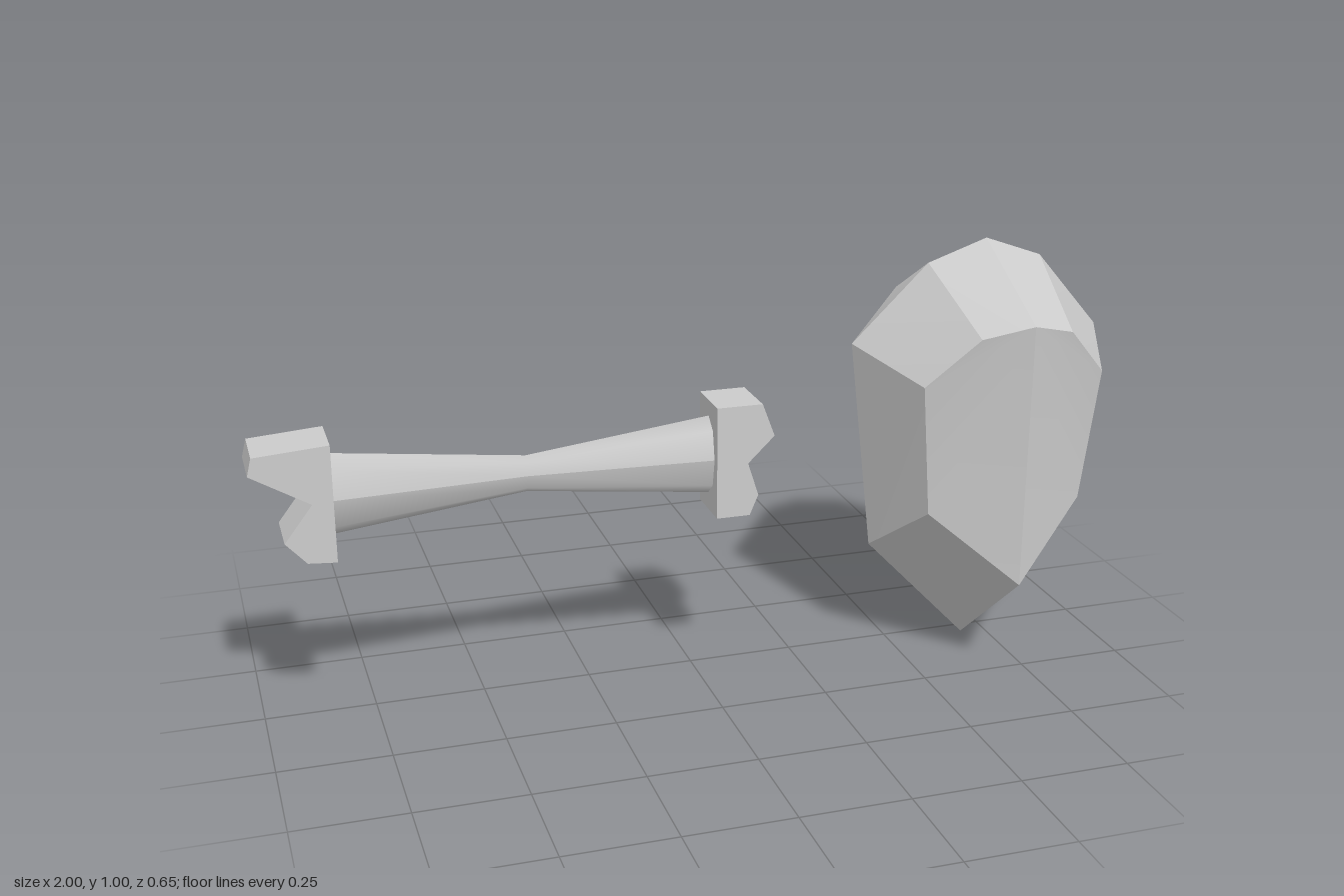
import * as THREE from 'three';
import { toCreasedNormals } from 'three/addons/utils/BufferGeometryUtils.js';

const material = () => new THREE.MeshStandardMaterial({ color: 0xcccccc });
const v = (x, y, z) => new THREE.Vector3(x, y, z);
const centroid = (pts) => pts.reduce((s, p) => s.add(p), v(0, 0, 0)).divideScalar(pts.length);

// Fans each polygon into triangles that face away from ref (sign 1) or towards it (sign -1).
function facet(out, polygon, ref, sign = 1) {
  for (let i = 1; i < polygon.length - 1; i++) {
    const [a, b, c] = [polygon[0], polygon[i], polygon[i + 1]];
    const n = b.clone().sub(a).cross(c.clone().sub(a));
    const outward = n.dot(centroid([a, b, c]).sub(ref)) * sign > 0;
    out.push(a, ...(outward ? [b, c] : [c, b]));
  }
}

// Adds the mirrored half of a list of triangles and makes a creased mesh.
function mirroredMesh(name, half) {
  const all = [...half];
  for (let i = 0; i < half.length; i += 3) {
    for (const k of [0, 2, 1]) {
      const p = half[i + k];
      all.push(v(-p.x, p.y, p.z));
    }
  }
  const geo = toCreasedNormals(new THREE.BufferGeometry().setFromPoints(all), 0.4);
  const mesh = new THREE.Mesh(geo, material());
  mesh.name = name;
  return mesh;
}

// Recess: walls from the rim to a smaller floor.
function recess(out, rim, shrink, offset, closed) {
  const mid = centroid(rim);
  const floor = rim.map((p) => p.clone().lerp(v(closed ? mid.x : 0, mid.y, mid.z), shrink).add(offset));
  if (!closed) floor.forEach((p, i) => { if (rim[i].x === 0) p.x = 0; });
  const ref = closed ? centroid([...rim, ...floor]) : v(0, mid.y, mid.z);
  const count = closed ? rim.length : rim.length - 1;
  for (let i = 0; i < count; i++) {
    const j = (i + 1) % rim.length;
    facet(out, [rim[i], rim[j], floor[j], floor[i]], ref, -1);
  }
  facet(out, floor, ref, -1);
}

function createHead() {
  const head = new THREE.Group();
  head.name = 'head';

  // Left half of the front, middle and back rings, top to bottom
  const f = [v(0, 0.86, 0.325), v(0.11, 0.83, 0.29), v(0.22, 0.715, 0.24), v(0.19, 0.405, 0.225), v(0, 0.245, 0.325)];
  const m = [v(0, 1, 0.06), v(0.14, 0.95, 0.055), v(0.31, 0.765, 0.027), v(0.255, 0.265, 0.037), v(0, 0, 0.037)];
  const top = v(0, 0.86, -0.207), brow = v(0.11, 0.83, -0.19), jaw = v(0.185, 0.405, -0.165), chin = v(0, 0.245, -0.187);
  const bridge = v(0, 0.76, -0.215), upperLip = v(0, 0.51, -0.195);
  const eye = [v(0.24, 0.727, -0.08), v(0.09, 0.752, -0.18), v(0.172, 0.55, -0.17)];
  const [eyeOut, eyeIn, eyeLow] = eye;
  const mouth = [upperLip, v(0.1, 0.51, -0.183), v(0.105, 0.44, -0.18), v(0.055, 0.378, -0.193), v(0, 0.37, -0.197)];

  // Faceted shell
  const shell = [], core = v(0, 0.52, 0.05);
  const panels = [
    f,
    [f[0], f[1], m[1], m[0]], [f[1], f[2], m[2], m[1]], [f[2], f[3], m[3], m[2]], [f[3], f[4], m[4], m[3]],
    [top, brow, m[1], m[0]], [brow, m[1], m[2]], [brow, m[2], eyeOut], [brow, eyeOut, eyeIn],
    [eyeOut, m[2], eyeLow], [eyeLow, m[2], m[3]], [eyeLow, m[3], jaw], [jaw, m[3], m[4], chin],
  ];
  panels.forEach((p) => facet(shell, p, core));
  head.add(mirroredMesh('shell', shell));

  // Face around the eyes and mouth
  const face = [];
  [
    [top, brow, bridge], [brow, eyeIn, bridge], [bridge, eyeIn, upperLip],
    [eyeIn, mouth[1], upperLip], [eyeIn, eyeLow, mouth[1]],
    [eyeLow, mouth[2], mouth[1]], [eyeLow, jaw, mouth[2]],
    [jaw, mouth[3], mouth[2]], [jaw, chin, mouth[3]], [chin, mouth[4], mouth[3]],
  ].forEach((p) => facet(face, p, core));
  head.add(mirroredMesh('face', face));

  // Eye sockets and mouth hollow
  const sockets = [];
  recess(sockets, eye, 0.35, v(-0.05, -0.02, 0.01), true);
  head.add(mirroredMesh('eyeSockets', sockets));
  const hollow = [];
  recess(hollow, mouth, 0.15, v(0, 0, 0.06), false);
  head.add(mirroredMesh('mouthHollow', hollow));

  // Nose: sections from bridge to nostrils, each root, side, front, ridge
  const sections = [
    [0.77, 0.03, -0.19, 0.02, -0.205, 0.01, -0.212, -0.216],
    [0.68, 0.085, -0.17, 0.055, -0.215, 0.035, -0.24, -0.246],
    [0.668, 0.085, -0.17, 0.058, -0.23, 0.038, -0.285, -0.296],
    [0.525, 0.09, -0.17, 0.085, -0.295, 0.04, -0.317, -0.324],
    [0.496, 0.085, -0.17, 0.075, -0.285, 0.035, -0.303, -0.308],
  ].map(([y, rx, rz, sx, sz, fx, fz, z]) => [v(rx, y, rz), v(sx, y, sz), v(fx, y, fz), v(0, y, z)]);
  const nose = [], noseCore = v(0, 0.58, -0.17);
  for (let i = 0; i < sections.length - 1; i++) {
    for (let k = 0; k < 3; k++) {
      facet(nose, [sections[i][k], sections[i][k + 1], sections[i + 1][k + 1], sections[i + 1][k]], noseCore);
    }
  }
  facet(nose, [v(0, 0.507, -0.17), ...sections[4]], noseCore);
  head.add(mirroredMesh('nose', nose));

  head.position.x = 0.69;
  return head;
}

function createBone() {
  const bone = new THREE.Group();
  bone.name = 'bone';

  // Shaft pinched in the middle
  const shaftGeo = new THREE.CylinderGeometry(1, 1, 0.86, 8, 2);
  const pos = shaftGeo.attributes.position;
  for (let i = 0; i < pos.count; i++) {
    const end = Math.abs(pos.getY(i)) > 0.1;
    pos.setX(i, pos.getX(i) * (end ? 0.093 : 0.042));
    pos.setZ(i, pos.getZ(i) * (end ? 0.046 : 0.02));
  }
  shaftGeo.rotateZ(Math.PI / 2);
  shaftGeo.computeVertexNormals();
  const shaft = new THREE.Mesh(shaftGeo, material());
  shaft.name = 'shaft';
  shaft.position.set(-0.4, 0.548, 0.068);
  bone.add(shaft);

  // Forked knuckles
  const knuckles = {
    leftKnuckle: [[0.022, 0.415], [0.1, 0.415], [0.12, 0.462], [0.095, 0.54], [0.157, 0.6], [0.128, 0.677], [0.022, 0.677]],
    rightKnuckle: [[-0.827, 0.68], [-0.99, 0.668], [-1, 0.628], [-0.872, 0.552], [-0.935, 0.47], [-0.89, 0.42], [-0.827, 0.415]],
  };
  for (const [name, outline] of Object.entries(knuckles)) {
    const shape = new THREE.Shape(outline.map(([x, y]) => new THREE.Vector2(x, y)));
    const mesh = new THREE.Mesh(new THREE.ExtrudeGeometry(shape, { depth: 0.13, bevelEnabled: false }), material());
    mesh.name = name;
    mesh.position.z = 0.003;
    bone.add(mesh);
  }
  return bone;
}

export function createModel() {
  const model = new THREE.Group();
  model.name = 'headAndBone';
  model.add(createHead(), createBone());
  return model;
}
